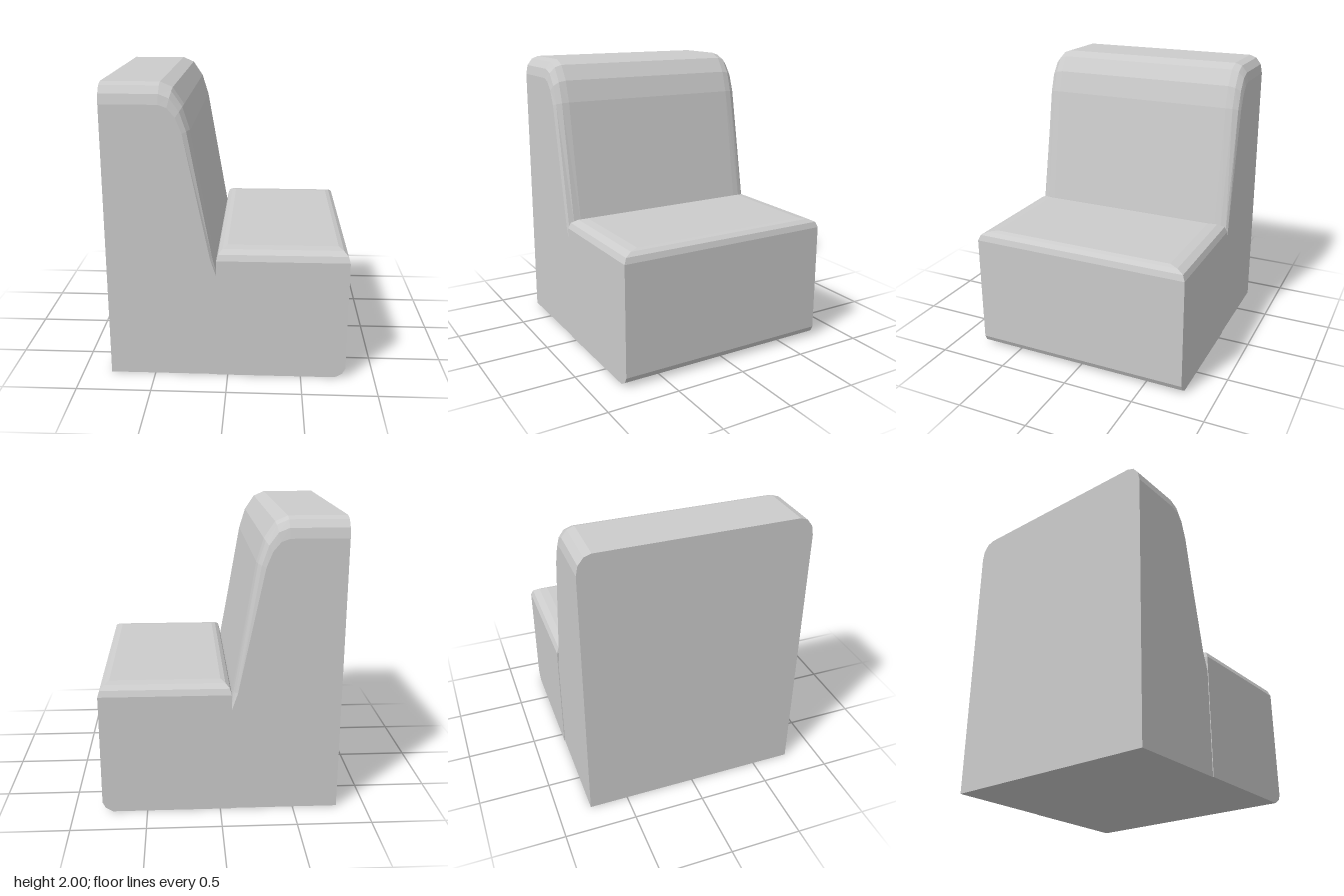
import * as THREE from 'three';

// Skin a list of equal-length rings (each counter-clockwise seen from the far end) and cap both ends
function loft(name, rings) {
  const pos = [];
  const tri = (a, b, c) => pos.push(...a, ...b, ...c);
  const n = rings[0].length;
  for (let i = 0; i < rings.length - 1; i++) {
    for (let j = 0; j < n; j++) {
      const k = (j + 1) % n;
      const a = rings[i][j], b = rings[i][k], c = rings[i + 1][k], d = rings[i + 1][j];
      tri(a, b, c);
      tri(a, c, d);
    }
  }
  const first = rings[0], last = rings[rings.length - 1];
  for (let j = 1; j < n - 1; j++) {
    tri(first[0], first[j + 1], first[j]);
    tri(last[0], last[j], last[j + 1]);
  }
  const geometry = new THREE.BufferGeometry();
  geometry.setAttribute('position', new THREE.Float32BufferAttribute(pos, 3));
  geometry.computeVertexNormals();
  const mesh = new THREE.Mesh(geometry, new THREE.MeshStandardMaterial({ color: 0xcccccc, flatShading: true }));
  mesh.name = name;
  return mesh;
}

// Backrest: side profile lofted across the width, easing to a smaller profile at each side
function makeBackrest() {
  const full = [[-0.805, 0], [-0.075, 0], [-0.075, 0.78], [-0.085, 0.85], [-0.23, 1.71],
    [-0.275, 1.86], [-0.345, 1.965], [-0.425, 2], [-0.805, 2]];
  const side = [[-0.805, 0], [-0.075, 0], [-0.075, 0.73], [-0.115, 0.85], [-0.285, 1.69],
    [-0.325, 1.79], [-0.375, 1.85], [-0.43, 1.87], [-0.805, 1.87]];
  const ringAt = (angle, sign) => {
    const t = 1 - Math.cos(angle);
    const z = sign * (0.67 + 0.1 * Math.sin(angle));
    return full.map(([x, y], i) => [
      THREE.MathUtils.lerp(x, side[i][0], t), THREE.MathUtils.lerp(y, side[i][1], t), z]);
  };
  const angles = [0, 1, 2, 3].map((i) => i * Math.PI / 6);
  return loft('backrest', [
    ...angles.slice().reverse().map((a) => ringAt(a, -1)),
    ...angles.map((a) => ringAt(a, 1)),
  ]);
}

// Seat: stacked rectangles, rounded at the lower front edge and all round the top
function makeSeat() {
  // y, left x, right x, half depth
  const layers = [
    [0, -0.075, 0.735, 0.775],
    [0.03, -0.075, 0.785, 0.775],
    [0.07, -0.075, 0.805, 0.775],
    [0.84, -0.075, 0.805, 0.775],
    [0.88, -0.063, 0.793, 0.758],
    [0.903, -0.035, 0.765, 0.71],
    [0.912, -0.005, 0.735, 0.65],
  ];
  return loft('seat', layers.map(([y, x0, x1, z]) => [[x0, y, z], [x1, y, z], [x1, y, -z], [x0, y, -z]]));
}

export function createModel() {
  const group = new THREE.Group();
  group.name = 'armlessSofaSection';
  group.add(makeBackrest(), makeSeat());
  return group;
}
